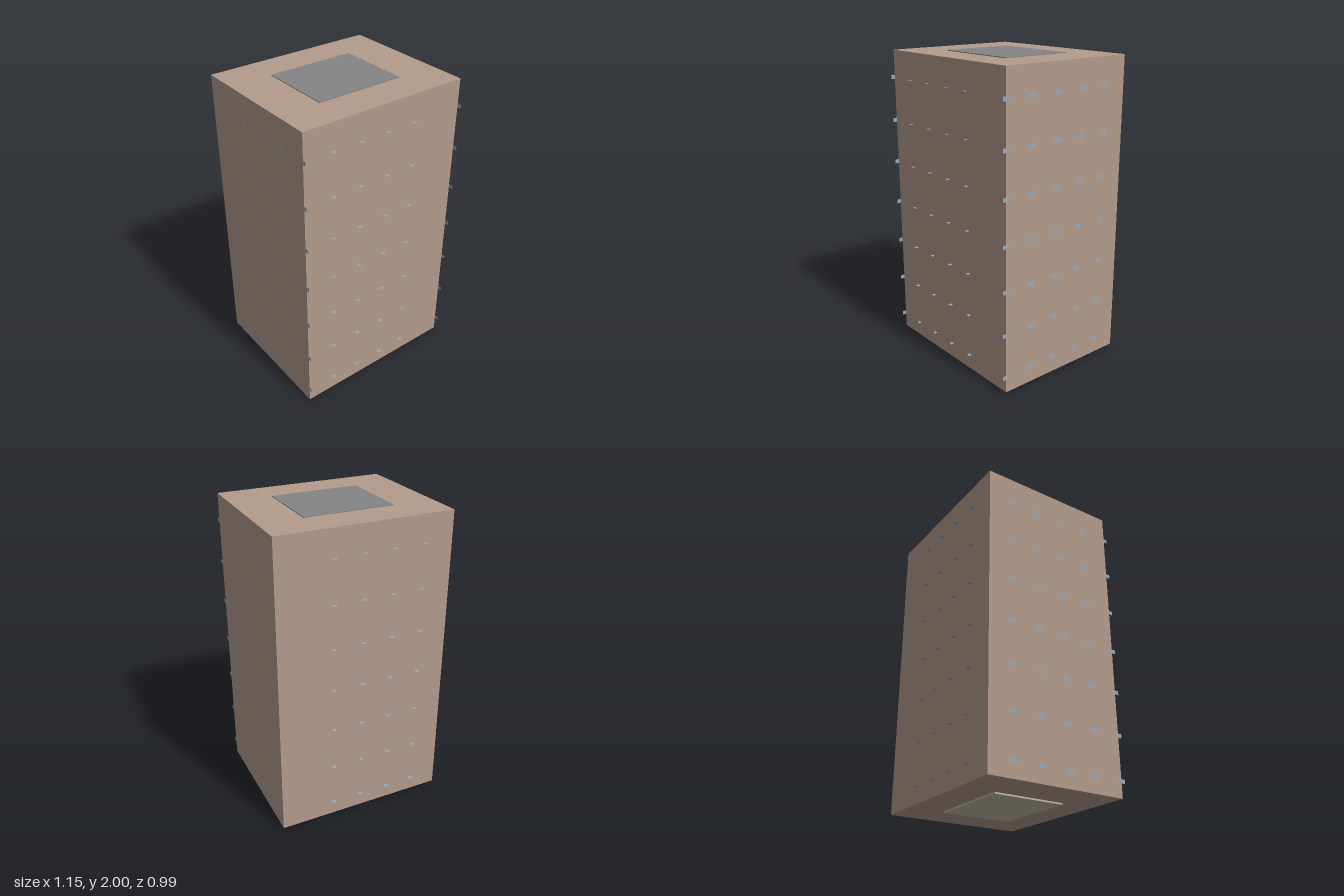
import * as THREE from 'three';

const W = 1.142, D = 0.942;            // tower footprint
const ROW0 = 0.114, ROW_STEP = 0.2843; // fin rows
const COL_STEP = 0.1948;

function mat(color, side = THREE.FrontSide) {
  const m = new THREE.MeshStandardMaterial({ color });
  m.side = side;
  return m;
}

function box(name, w, h, d, y, material) {
  const mesh = new THREE.Mesh(new THREE.BoxGeometry(w, h, d), material);
  mesh.name = name;
  mesh.position.y = y;
  return mesh;
}

export function createModel() {
  const group = new THREE.Group();
  group.name = 'towerBlock';

  // Main body with thin slabs above and below
  group.add(
    box('body', W, 1.985, D, 1.0025, mat(0xb39b8c)),
    box('roofSlab', 0.584, 0.008, 0.484, 1.996, mat(0x858585)),
    box('baseSlab', 0.584, 0.01, 0.484, 0.005, mat(0xbfbaa8)),
  );

  // Small flat window panels: upright on the sides, lying flat on front and back
  const glass = mat(0x94a9bd, THREE.DoubleSide);
  const sidePanel = new THREE.PlaneGeometry(0.047, 0.027).rotateY(Math.PI / 2);
  const flatPanel = new THREE.PlaneGeometry(0.027, 0.047).rotateX(-Math.PI / 2);
  const windows = new THREE.Group();
  windows.name = 'windows';
  const addPanel = (name, geometry, x, y, z) => {
    const p = new THREE.Mesh(geometry, glass);
    p.name = name;
    p.position.set(x, y, z);
    windows.add(p);
  };

  for (let row = 0; row < 7; row++) {
    const y = ROW0 + row * ROW_STEP;
    // Five columns per side, the first overhanging the front corner
    for (let c = 0; c < 5; c++) {
      const z = 0.473 - c * COL_STEP;
      addPanel('leftWindow', sidePanel, W / 2 + 0.002, y, z);
      addPanel('rightWindow', sidePanel, -W / 2 - 0.002, y, z);
    }
    // Four columns on front and back, poking through the wall
    for (let c = 0; c < 4; c++) {
      const x = -0.374 + c * COL_STEP;
      addPanel('frontWindow', flatPanel, x, y, 0.467);
      addPanel('backWindow', flatPanel, x, y, -0.472);
    }
  }
  group.add(windows);
  return group;
}
